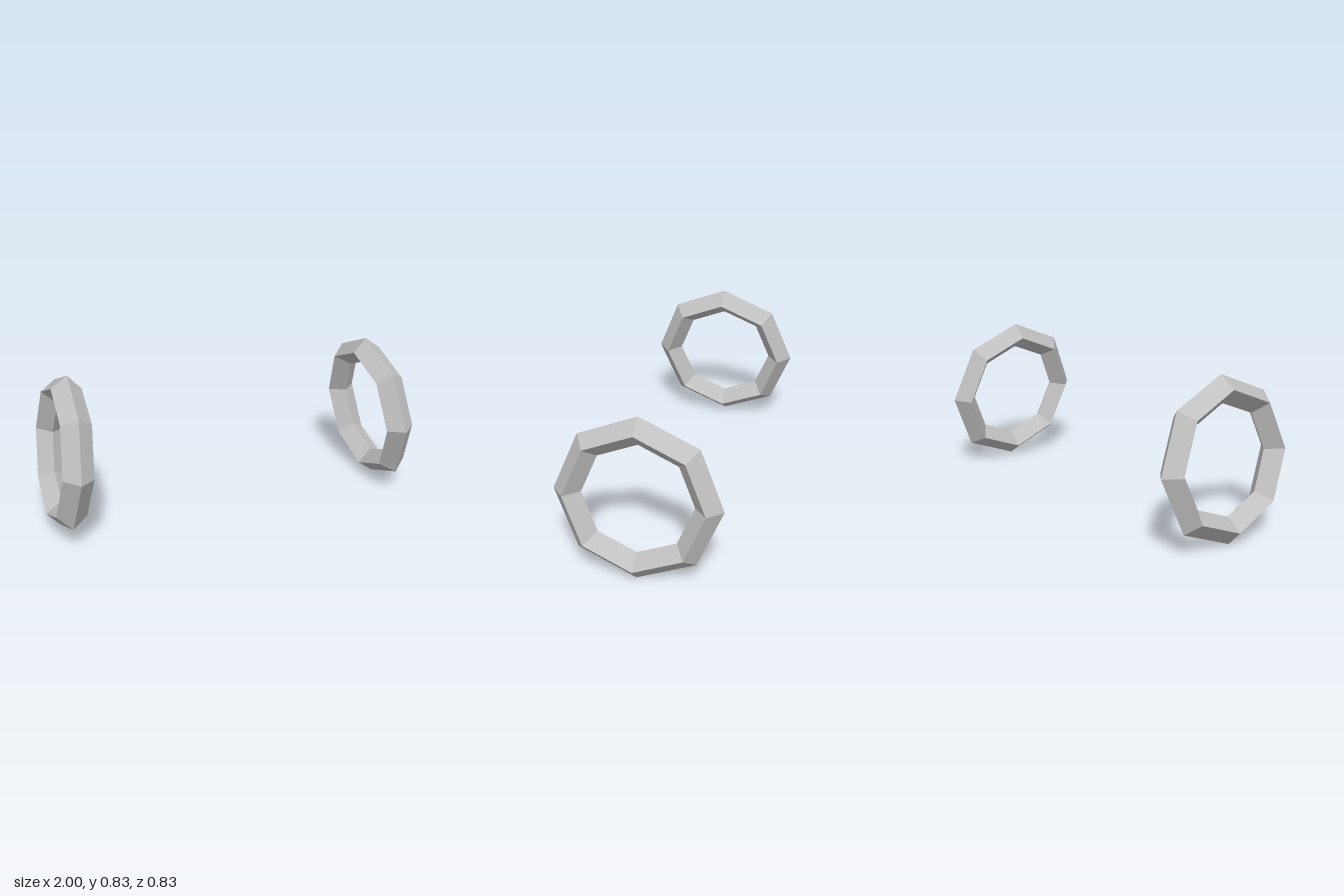
import * as THREE from 'three';

const RING_RADIUS = 0.346;
const TUBE_RADIUS = 0.069;
const TUBE_WIDTH = 0.078; // half width along the ring's axis
const TILT = 0.108;

export function createModel() {
  const model = new THREE.Group();
  model.name = 'ringPair';
  const grey = new THREE.MeshStandardMaterial({ color: 0xc0c0c0 });
  grey.name = 'light grey';
  grey.flatShading = true;

  // Eight-sided ring with a diamond section, its axis turned to x
  const ring = new THREE.TorusGeometry(RING_RADIUS, TUBE_RADIUS, 4, 8);
  ring.scale(1, 1, TUBE_WIDTH / TUBE_RADIUS);
  ring.rotateY(Math.PI / 2);

  // Two rings, their tops leaning towards each other
  for (const [name, side] of [['leftRing', 1], ['rightRing', -1]]) {
    const mesh = new THREE.Mesh(ring, grey);
    mesh.name = name;
    mesh.position.set(side * 0.885, 0.413, 0);
    mesh.rotation.z = side * TILT;
    model.add(mesh);
  }
  return model;
}
